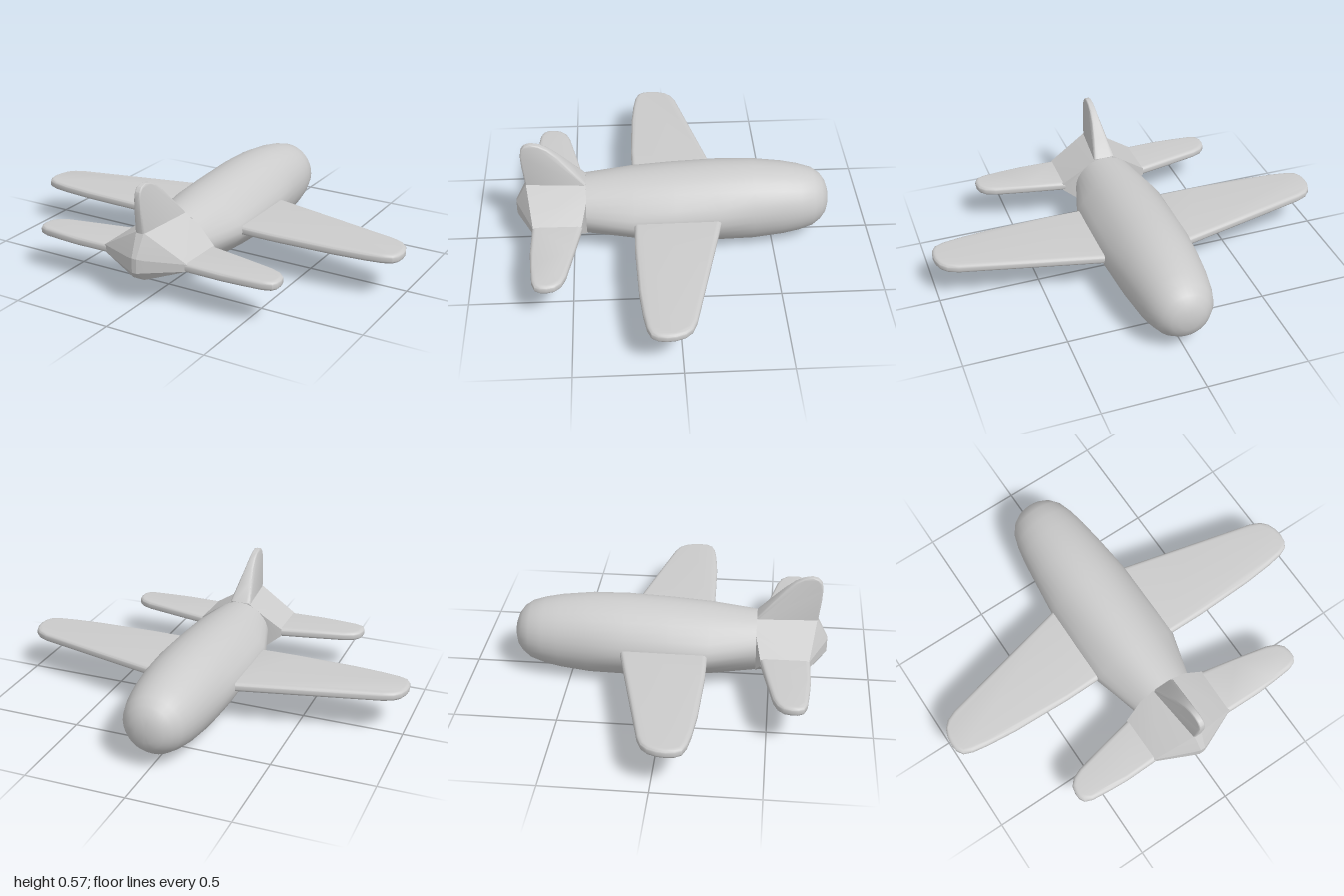
import * as THREE from 'three';
import { toCreasedNormals } from 'three/addons/utils/BufferGeometryUtils.js';
import { ConvexGeometry } from 'three/addons/geometries/ConvexGeometry.js';

const material = new THREE.MeshStandardMaterial({ color: 0xcccccc });

function part(name, geometry, crease = 0.6) {
  const mesh = new THREE.Mesh(toCreasedNormals(geometry, crease), material);
  mesh.name = name;
  return mesh;
}

// Round body lofted along z; "waist" pulls the sides out to a soft ridge at wing height
function fuselageGeometry() {
  // z, half width, waist width, bottom y, top y
  const sections = [
    [-0.78, 0, 0, 0.205, 0.205], [-0.777, 0.05, 0.05, 0.155, 0.255],
    [-0.765, 0.085, 0.085, 0.12, 0.29], [-0.74, 0.118, 0.118, 0.09, 0.325],
    [-0.7, 0.147, 0.147, 0.06, 0.353], [-0.63, 0.169, 0.169, 0.037, 0.374],
    [-0.55, 0.184, 0.184, 0.021, 0.39], [-0.4, 0.2, 0.202, 0.004, 0.407],
    [-0.22, 0.205, 0.223, 0.002, 0.41], [0, 0.2, 0.226, 0.014, 0.4],
    [0.2, 0.19, 0.228, 0.03, 0.386], [0.432, 0.156, 0.16, 0.062, 0.36],
    [0.432, 0, 0, 0.21, 0.21],
  ];
  const sides = 32, pos = [], index = [];
  sections.forEach(([z, w, waist, lo, hi], i) => {
    for (let j = 0; j <= sides; j++) {
      const a = (j / sides) * Math.PI * 2, c = Math.cos(a);
      const x = c * (w + (waist - w) * Math.abs(c) ** 10);
      pos.push(x, (lo + hi) / 2 + Math.sin(a) * (hi - lo) / 2, z);
      if (i && j) {
        const d = i * (sides + 1) + j, b = d - sides - 1;
        index.push(b - 1, b, d - 1, b, d, d - 1);
      }
    }
  });
  const g = new THREE.BufferGeometry();
  g.setAttribute('position', new THREE.Float32BufferAttribute(pos, 3));
  g.setIndex(index);
  return g;
}

// Flat panel with rounded rim, from an outline in x and z
function panelGeometry(outline, side, span = 1) {
  const shape = new THREE.Shape(outline.map(([x, z]) => new THREE.Vector2(side * span * x, z)));
  const g = new THREE.ExtrudeGeometry(shape, {
    depth: 0.015, bevelThickness: 0.015, bevelSize: 0.02, bevelOffset: -0.02, bevelSegments: 4,
  });
  return g.rotateX(Math.PI / 2).translate(0, 0.2175, 0);
}

// Faceted tail block that flares out to the stabiliser roots
function tailGeometry() {
  const half = [
    [0.055, 0.355, 0.43], [0.13, 0.305, 0.43], [0.11, 0.1, 0.43], [0.04, 0.063, 0.43],
    [0.225, 0.23, 0.455], [0.225, 0.192, 0.455], [0.225, 0.228, 0.69], [0.225, 0.195, 0.69],
    [0.02, 0.35, 0.725], [0.045, 0.235, 0.767], [0.045, 0.175, 0.768],
    [0.012, 0.24, 0.78], [0.012, 0.17, 0.78], [0.03, 0.13, 0.745], [0.03, 0.105, 0.66],
  ];
  return new ConvexGeometry(half.flatMap(([x, y, z]) =>
    [new THREE.Vector3(x, y, z), new THREE.Vector3(-x, y, z)]));
}

// Fin outline given thickness that shrinks upward and toward the back
function finGeometry() {
  const outline = [
    [0.43, 0.33], [0.43, 0.36], [0.5, 0.44], [0.56, 0.503], [0.61, 0.545], [0.65, 0.566],
    [0.69, 0.574], [0.72, 0.565], [0.737, 0.545], [0.743, 0.51], [0.74, 0.45], [0.726, 0.33],
  ];
  const g = new THREE.ExtrudeGeometry(new THREE.Shape(outline.map((p) => new THREE.Vector2(...p))), {
    depth: 1.2, bevelThickness: 0.4, bevelSize: 0.008, bevelOffset: -0.008, bevelSegments: 3,
  });
  g.translate(0, 0, -0.6).rotateY(-Math.PI / 2);
  const p = g.attributes.position;
  for (let i = 0; i < p.count; i++) {
    const base = THREE.MathUtils.mapLinear(p.getZ(i), 0.43, 0.73, 0.057, 0.024);
    const up = THREE.MathUtils.clamp((p.getY(i) - 0.35) / 0.22, 0, 1);
    p.setX(i, p.getX(i) * THREE.MathUtils.lerp(base, 0.015, up));
  }
  return g;
}

export function createModel() {
  const model = new THREE.Group();
  model.name = 'airplane';
  model.add(part('fuselage', fuselageGeometry(), 0.7));
  model.add(part('tailBlock', tailGeometry(), 0.25));
  model.add(part('tailFin', finGeometry()));

  const wing = [
    [0.1, -0.25], [0.22, -0.227], [0.55, -0.147], [0.9, -0.062], [0.95, -0.04], [0.98, -0.008],
    [0.996, 0.035], [1, 0.075], [0.994, 0.115], [0.975, 0.145], [0.93, 0.163], [0.85, 0.176],
    [0.7, 0.19], [0.4, 0.2], [0.22, 0.198], [0.1, 0.19],
  ];
  const stabiliser = [
    [0.1, 0.44], [0.22, 0.452], [0.4, 0.488], [0.57, 0.524], [0.62, 0.545], [0.648, 0.575],
    [0.656, 0.61], [0.655, 0.64], [0.64, 0.668], [0.6, 0.683], [0.5, 0.692], [0.4, 0.698],
    [0.22, 0.695], [0.1, 0.69],
  ];
  for (const [label, side] of [['left', 1], ['right', -1]]) {
    model.add(part(label + 'Wing', panelGeometry(wing, side)));
    model.add(part(label + 'Stabiliser', panelGeometry(stabiliser, side, side > 0 ? 1 : 0.96)));
  }
  return model;
}
